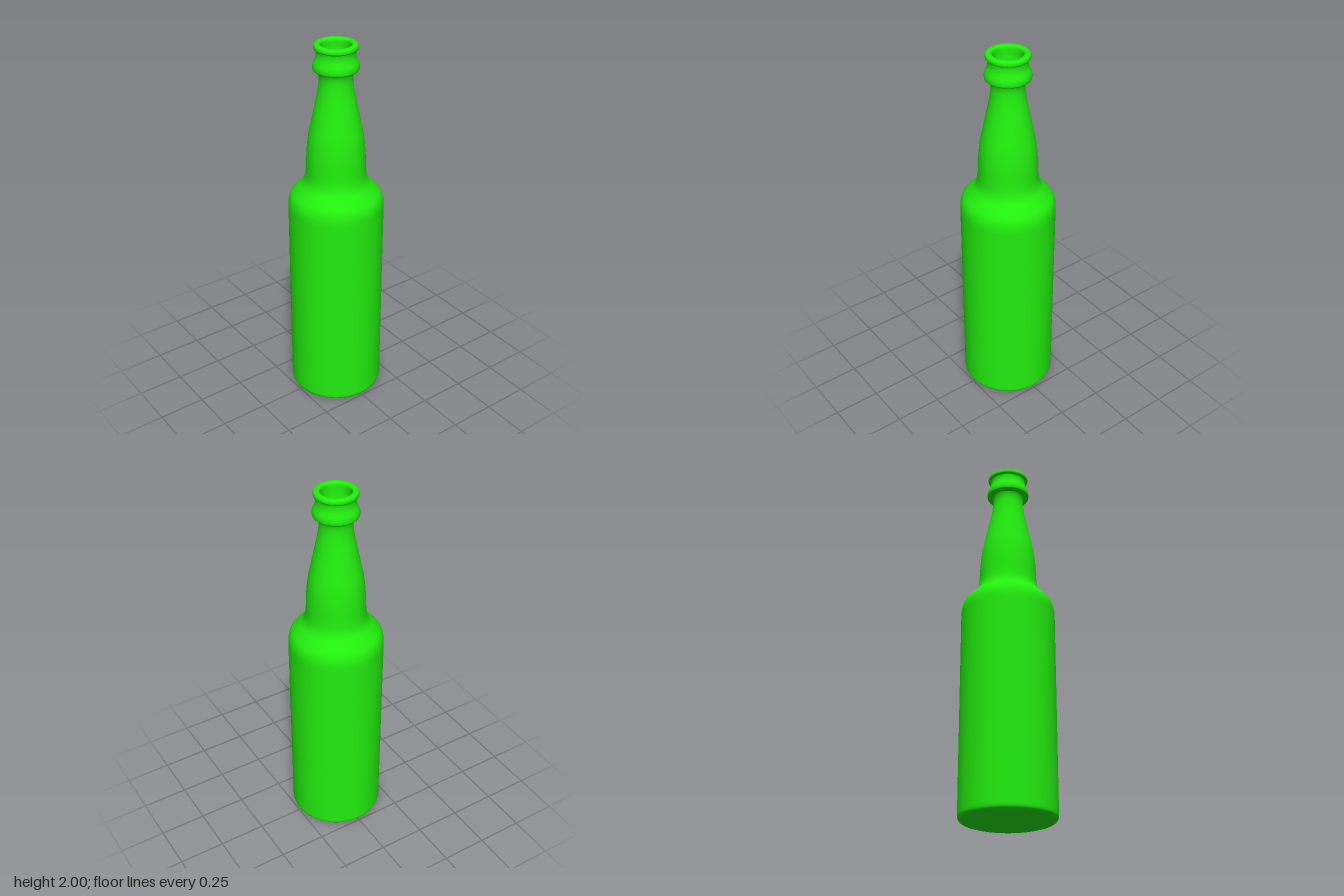
import * as THREE from 'three';

const SIDES = 96;

// Smooth curve through a few [radius, height] points
function smooth(points, steps) {
  const curve = new THREE.SplineCurve(points.map(([r, y]) => new THREE.Vector2(r, y)));
  return curve.getPoints(steps);
}

export function createModel() {
  const bottle = new THREE.Group();
  bottle.name = 'bottle';
  const glass = new THREE.MeshStandardMaterial({ color: 0x22ee0e });

  function addLathe(name, profile) {
    const mesh = new THREE.Mesh(new THREE.LatheGeometry(profile, SIDES), glass);
    mesh.name = name;
    bottle.add(mesh);
  }

  // Flat underside
  addLathe('base', [new THREE.Vector2(0, 0), new THREE.Vector2(0.222, 0)]);

  // Rounded heel and straight wall
  addLathe('body', [
    ...smooth([[0.222, 0], [0.239, 0.006], [0.248, 0.018], [0.25, 0.035]], 10),
    ...smooth([[0.25, 0.05], [0.25, 1.12]], 8),
  ]);

  // Round shoulder flowing into the swelling neck
  addLathe('shoulderAndNeck', smooth([
    [0.25, 1.12], [0.247, 1.155], [0.234, 1.19], [0.203, 1.225], [0.175, 1.254],
    [0.161, 1.285], [0.155, 1.33], [0.151, 1.42], [0.142, 1.51], [0.124, 1.6],
    [0.105, 1.69], [0.091, 1.76], [0.085, 1.81], [0.087, 1.84], [0.093, 1.858],
  ], 80));

  // Collar ring with a sharp lower edge
  addLathe('collar', smooth([
    [0.093, 1.858], [0.109, 1.864], [0.116, 1.873], [0.115, 1.895],
    [0.106, 1.918], [0.1, 1.935], [0.098, 1.955], [0.1, 1.968],
  ], 32));

  // Rolled lip around the mouth
  addLathe('lip', smooth([
    [0.1, 1.968], [0.109, 1.974], [0.111, 1.985], [0.107, 1.996],
    [0.096, 2], [0.084, 1.999], [0.077, 1.992], [0.075, 1.98],
  ], 32));

  // Inner wall, running down from the mouth
  addLathe('innerWall', smooth([
    [0.075, 1.98], [0.074, 1.94], [0.067, 1.88], [0.066, 1.81], [0.073, 1.75],
    [0.088, 1.68], [0.107, 1.59], [0.125, 1.5], [0.135, 1.4], [0.139, 1.31],
    [0.155, 1.25], [0.193, 1.21], [0.225, 1.16], [0.232, 1.1],
  ], 60));
  addLathe('innerBody', [
    ...smooth([[0.232, 1.1], [0.232, 0.06]], 4),
    ...smooth([[0.232, 0.05], [0.226, 0.03], [0.205, 0.022]], 6),
  ]);
  addLathe('innerFloor', [new THREE.Vector2(0.205, 0.022), new THREE.Vector2(0, 0.022)]);

  return bottle;
}
